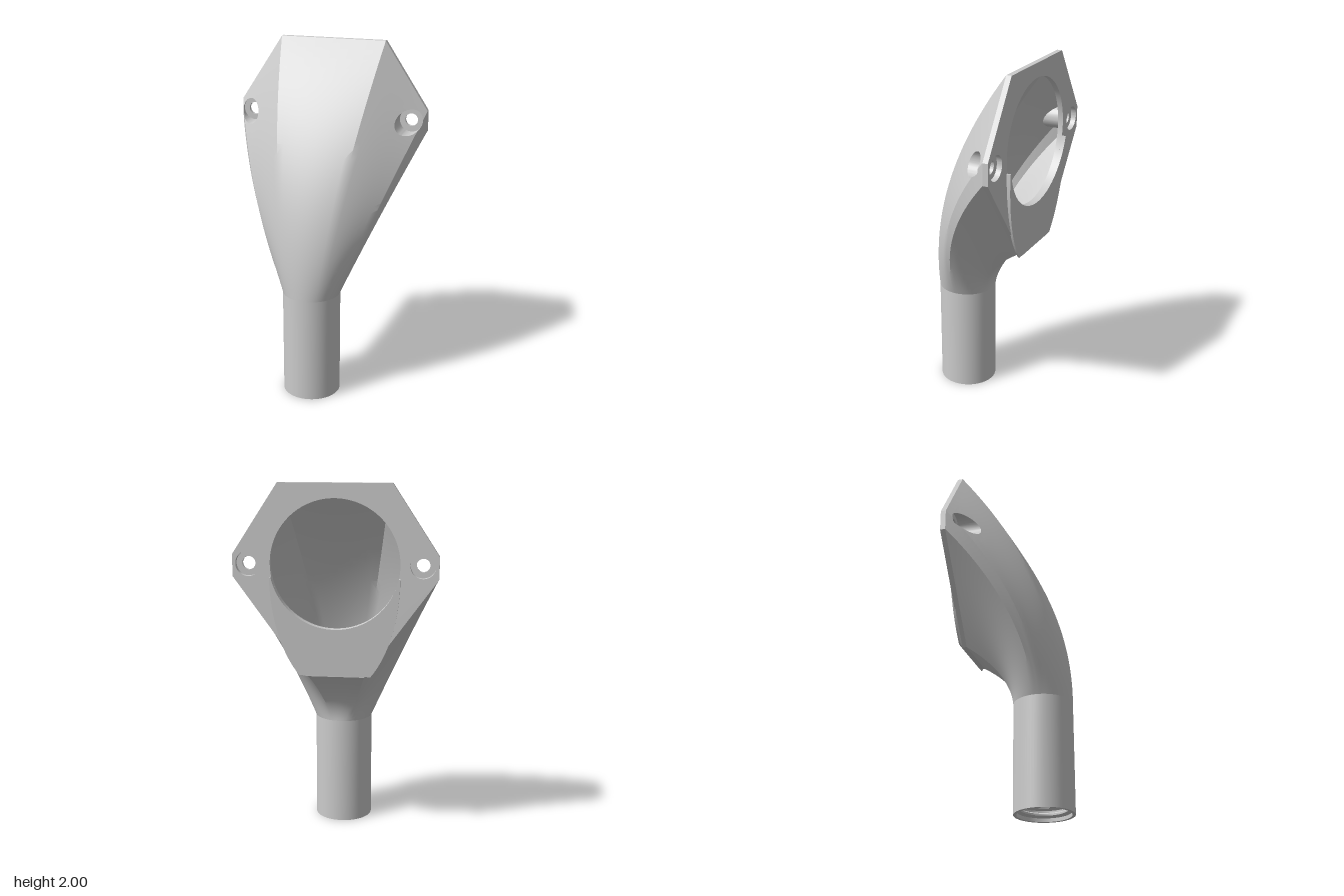
import * as THREE from 'three';
import { toCreasedNormals } from 'three/addons/utils/BufferGeometryUtils.js';

const PIPE_Z = 0.145, PIPE_TOP = 0.62, PLATE_Z = -0.255, BACK_Z = -0.285;
const SCREW = { x: 0.47, y: 1.57, bore: 0.068, hole: 0.036, floor: -0.235 };
const MOUTH = { y: 1.57, r: 0.35 };

const material = new THREE.MeshStandardMaterial({ color: 0xcccccc, side: THREE.DoubleSide });

function addMesh(group, name, geometry, crease = 0.45) {
  const mesh = new THREE.Mesh(toCreasedNormals(geometry, crease), material);
  mesh.name = name;
  group.add(mesh);
  return mesh;
}

// Right half of the plate outline, from top middle to bottom middle
const halfOutline = (corners) => [[0, corners[0][1]], ...corners, [0, corners[corners.length - 1][1]]]
  .map(([x, y]) => new THREE.Vector2(x, y));

const OUTER = halfOutline([[0.305, 2], [0.555, 1.62], [0.555, 1.5], [0.16, 0.955]]);
const INNER = halfOutline([[0.285, 1.96], [0.52, 1.6], [0.52, 1.51], [0.14, 1.0]]);

// Pair points of the outline with pipe angles by arc length, then mirror
function railEnds(half) {
  let total = 0, run = 0;
  for (let i = 1; i < half.length; i++) total += half[i].distanceTo(half[i - 1]);
  const rails = [{ p: half[0], angle: 0 }];
  for (let i = 1; i < half.length; i++) {
    const length = half[i].distanceTo(half[i - 1]), n = Math.ceil(length / 0.06);
    for (let k = 1; k <= n; k++) {
      rails.push({
        p: half[i - 1].clone().lerp(half[i], k / n),
        angle: Math.PI * (run + length * k / n) / total,
      });
    }
    run += length;
  }
  const mirrored = rails.slice(0, -1).reverse()
    .map(({ p, angle }) => ({ p: new THREE.Vector2(-p.x, p.y), angle: 2 * Math.PI - angle }));
  return [...rails, ...mirrored];
}

// Triangles of the loft: round at the pipe, outline at the plate, z bending back as a parabola
function loftTriangles(half, radius, steps = 28) {
  const rails = railEnds(half);
  const point = ({ p, angle }, s) => {
    const z = PIPE_Z + radius * Math.cos(angle);
    return new THREE.Vector3(
      THREE.MathUtils.lerp(radius * Math.sin(angle), p.x, s),
      THREE.MathUtils.lerp(PIPE_TOP, p.y, s),
      z + (PLATE_Z - z) * s * s);
  };
  const triangles = [];
  for (let i = 0; i < rails.length - 1; i++) {
    for (let j = 0; j < steps; j++) {
      const a = point(rails[i], j / steps), b = point(rails[i + 1], j / steps);
      const c = point(rails[i + 1], (j + 1) / steps), d = point(rails[i], (j + 1) / steps);
      triangles.push([a, b, c], [a, c, d]);
    }
  }
  return triangles;
}

// Part of a polygon on one side of a line in x and y
function clip(polygon, distance, sign) {
  const out = [];
  polygon.forEach((a, i) => {
    const b = polygon[(i + 1) % polygon.length];
    const da = distance(a) * sign, db = distance(b) * sign;
    if (da >= 0) out.push(a);
    if (da * db < 0) out.push(a.clone().lerp(b, da / (da - db)));
  });
  return out;
}

// Cut a round bore along z; returns the kept polygons and the bore walls
function cutBore(polygons, cx, sides = 32) {
  const kept = [], walls = [];
  const apothem = SCREW.bore * Math.cos(Math.PI / sides);
  const planes = Array.from({ length: sides }, (_, i) => {
    const a = (i + 0.5) / sides * 2 * Math.PI;
    return (p) => (p.x - cx) * Math.cos(a) + (p.y - SCREW.y) * Math.sin(a) - apothem;
  });
  for (const polygon of polygons) {
    if (polygon.every((p) => Math.hypot(p.x - cx, p.y - SCREW.y) > 0.25)) {
      kept.push(polygon);
      continue;
    }
    let rest = polygon;
    const pieces = [];
    for (const plane of planes) {
      const outside = clip(rest, plane, 1);
      if (outside.length > 2) pieces.push(outside);
      rest = clip(rest, plane, -1);
      if (rest.length < 3) break;
    }
    if (rest.length < 3) {
      kept.push(polygon);
      continue;
    }
    kept.push(...pieces);
    rest.forEach((a, i) => {
      const b = rest[(i + 1) % rest.length];
      if (planes.some((d) => Math.abs(d(a)) < 1e-7 && Math.abs(d(b)) < 1e-7)) {
        const low = (p) => new THREE.Vector3(p.x, p.y, SCREW.floor);
        walls.push([a, b, low(b), low(a)]);
      }
    });
  }
  return { kept, walls };
}

function polygonGeometry(polygons, flip = false) {
  const points = [];
  for (const p of polygons) {
    for (let i = 1; i < p.length - 1; i++) {
      points.push(...(flip ? [p[0], p[i + 1], p[i]] : [p[0], p[i], p[i + 1]]));
    }
  }
  return new THREE.BufferGeometry().setFromPoints(points);
}

const circlePath = (x, y, r) => new THREE.Path().absarc(x, y, r, 0, 2 * Math.PI, true);

function extrude(shape, z0, z1) {
  return new THREE.ExtrudeGeometry(shape, { depth: z1 - z0, bevelEnabled: false, curveSegments: 48 })
    .translate(0, 0, z0);
}

export function createModel() {
  const group = new THREE.Group();

  // Pipe with a threaded socket at the bottom
  const profile = [[0.165, PIPE_TOP], [0.165, 0], [0.148, 0], [0.148, 0.02]];
  for (let i = 0; i < 6; i++) {
    const y = 0.03 + i * 0.04;
    profile.push([0.128, y], [0.128, y + 0.01], [0.146, y + 0.02], [0.146, y + 0.03]);
  }
  profile.push([0.128, 0.28], [0.128, PIPE_TOP]);
  const pipe = new THREE.LatheGeometry(profile.map(([x, y]) => new THREE.Vector2(x, y)), 64);
  addMesh(group, 'pipe', pipe.translate(0, 0, PIPE_Z));

  // Funnel shell, outside and inside, with the screw bores cut through
  const skins = [['funnelOuter', OUTER, 0.165, false], ['funnelInner', INNER, 0.128, true]];
  for (const [name, outline, radius, inside] of skins) {
    let polygons = loftTriangles(outline, radius);
    const walls = [];
    for (const side of [-1, 1]) {
      const cut = cutBore(polygons, side * SCREW.x);
      polygons = cut.kept;
      walls.push(...cut.walls);
    }
    addMesh(group, name, polygonGeometry(polygons, inside));
    if (!inside) addMesh(group, 'screwBoreWalls', polygonGeometry(walls));
  }

  // Back plate with the round mouth and screw recesses
  const outline = [...OUTER, ...OUTER.slice(1, -1).reverse().map((p) => new THREE.Vector2(-p.x, p.y))];
  const plate = new THREE.Shape(outline);
  plate.holes.push(circlePath(0, MOUTH.y, MOUTH.r));
  for (const side of [-1, 1]) plate.holes.push(circlePath(side * SCREW.x, SCREW.y, SCREW.bore));
  addMesh(group, 'backPlate', extrude(plate, BACK_Z, PLATE_Z));

  // Screw seats between the front bore and the back recess
  for (const side of [-1, 1]) {
    const seat = new THREE.Shape().absarc(side * SCREW.x, SCREW.y, SCREW.bore, 0, 2 * Math.PI);
    seat.holes.push(circlePath(side * SCREW.x, SCREW.y, SCREW.hole));
    addMesh(group, side > 0 ? 'leftScrewSeat' : 'rightScrewSeat', extrude(seat, PLATE_Z, SCREW.floor));
  }

  // Raised crescent below the mouth, thicker towards its top
  const bottom = 0.96, top = 1.5, n = 48, rim = [];
  for (let i = 0; i <= n; i++) {
    const a = -Math.PI * i / n;
    rim.push(new THREE.Vector2(0.351 * Math.cos(a), Math.max(bottom, top + 0.65 * Math.sin(a))));
  }
  const tip = Math.asin((MOUTH.y - top) / MOUTH.r);
  for (let i = 0; i <= n; i++) {
    const a = -Math.PI + tip + (Math.PI - 2 * tip) * i / n;
    rim.push(new THREE.Vector2(MOUTH.r * Math.cos(a), MOUTH.y + MOUTH.r * Math.sin(a)));
  }
  const crescent = extrude(new THREE.Shape(rim), 0, 1);
  const pos = crescent.attributes.position;
  for (let i = 0; i < pos.count; i++) {
    const lift = 0.003 + 0.02 * (pos.getY(i) - bottom) / (top - bottom);
    pos.setZ(i, pos.getZ(i) > 0.5 ? BACK_Z + 0.005 : BACK_Z - lift);
  }
  addMesh(group, 'mouthCrescent', crescent);

  return group;
}
